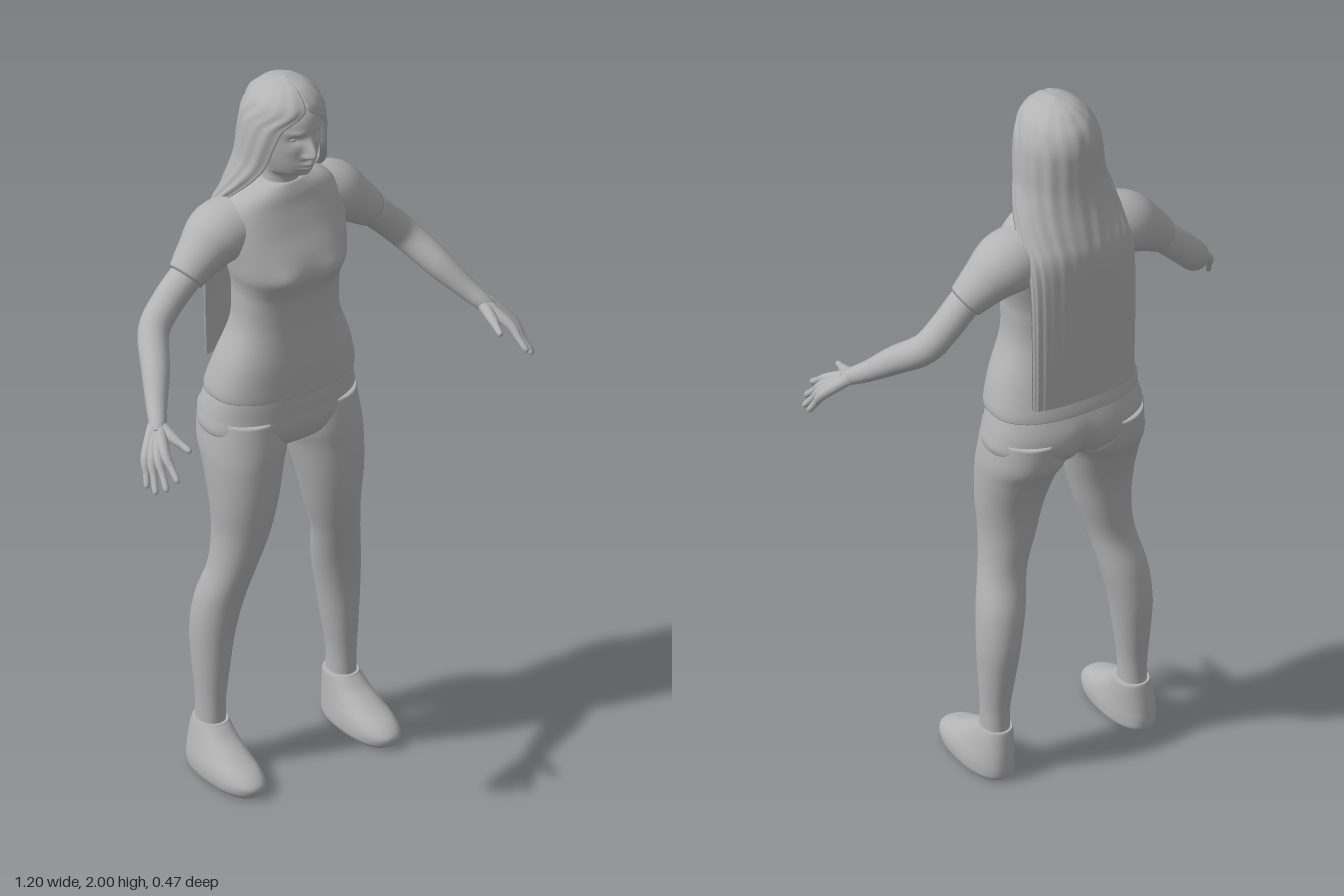
import * as THREE from 'three';

const grey = new THREE.MeshStandardMaterial({ color: 0xb4b4b4 });
grey.name = 'clay grey';
const hairGrey = grey.clone();
hairGrey.name = 'clay grey hair';
hairGrey.side = THREE.DoubleSide;

// Catmull-Rom interpolation of every column of a table
function spline(rows, steps) {
  const out = [];
  const at = (i) => rows[Math.min(rows.length - 1, Math.max(0, i))];
  for (let i = 0; i < rows.length - 1; i++) {
    const n = i === rows.length - 2 ? steps + 1 : steps;
    for (let k = 0; k < n; k++) {
      const t = k / steps;
      out.push(rows[i].map((_, c) => {
        const a = at(i - 1)[c], b = at(i)[c], d = at(i + 1)[c], e = at(i + 2)[c];
        const m0 = (d - a) / 2, m1 = (e - b) / 2;
        return b + m0 * t + (3 * (d - b) - 2 * m0 - m1) * t * t + (2 * (b - d) + m0 + m1) * t * t * t;
      }));
    }
  }
  return out;
}

// Closed skin over a stack of rings, with fan caps
function skin(name, rings, material = grey, caps = true) {
  const n = rings[0].length, pts = rings.flat(), index = [];
  for (let i = 0; i < rings.length - 1; i++) {
    for (let j = 0; j < n; j++) {
      const k = (j + 1) % n, a = i * n, b = a + n;
      index.push(a + j, b + j, a + k, a + k, b + j, b + k);
    }
  }
  if (caps) {
    const centre = (r) => r.reduce((s, p) => s.add(p), new THREE.Vector3()).divideScalar(n);
    const lo = pts.length, top = (rings.length - 1) * n;
    pts.push(centre(rings[0]), centre(rings[rings.length - 1]));
    for (let j = 0; j < n; j++) {
      const k = (j + 1) % n;
      index.push(lo, j, k, lo + 1, top + k, top + j);
    }
  }
  const g = new THREE.BufferGeometry().setFromPoints(pts);
  g.setIndex(index);
  g.computeVertexNormals();
  const mesh = new THREE.Mesh(g, material);
  mesh.name = name;
  return mesh;
}

// Upright form; rows are [y, xMin, xMax, zFront, zBack] from bottom to top
function body(name, rows, { power = 2, sides = 40, steps = 6, bump } = {}) {
  const pw = (v) => Math.sign(v) * Math.abs(v) ** (2 / power);
  const rings = spline(rows, steps).map(([y, x0, x1, zf, zb]) =>
    Array.from({ length: sides }, (_, j) => {
      const a = (j / sides) * Math.PI * 2;
      const v = new THREE.Vector3((x0 + x1) / 2 + pw(Math.cos(a)) * (x1 - x0) / 2, y,
        (zf + zb) / 2 + pw(Math.sin(a)) * (zf - zb) / 2);
      if (bump) bump(v, Math.sin(a));
      return v;
    }));
  return skin(name, rings);
}

// Round limb along a path of [x, y, z, radius]; s mirrors it
function limb(name, path, s, sides = 20, steps = 6) {
  const rows = spline(path, steps);
  const pos = rows.map((r) => new THREE.Vector3(r[0] * s, r[1], r[2]));
  const ref = new THREE.Vector3(0, 0, 1);
  const rings = pos.map((p, i) => {
    const t = pos[Math.min(i + 1, pos.length - 1)].clone().sub(pos[Math.max(i - 1, 0)]).normalize();
    const n = t.clone().cross(ref).normalize(), b = t.clone().cross(n);
    return Array.from({ length: sides }, (_, j) => {
      const a = (j / sides) * Math.PI * 2;
      return p.clone().addScaledVector(n, Math.cos(a) * rows[i][3]).addScaledVector(b, -Math.sin(a) * rows[i][3]);
    });
  });
  return skin(name, rings);
}

const sym = (rows) => rows.map(([y, rx, zf, zb]) => [y, -rx, rx, zf, zb]);
const flip = (rows, s) => rows.map(([y, a, b, zf, zb]) => (s > 0 ? [y, a, b, zf, zb] : [y, -b, -a, zf, zb]));
const bell = (x, c, w) => Math.exp(-(((x - c) / w) ** 2));

function makeHead() {
  // Facial relief: nose, lips, chin, brows, eye sockets
  const face = (v, front) => {
    if (front <= 0) return;
    const x = Math.abs(v.x), y = v.y;
    const ramp = THREE.MathUtils.smoothstep(1.885 - y, 0, 0.058) * (1 - THREE.MathUtils.smoothstep(1.823 - y, 0, 0.014));
    let d = 0.031 * ramp * bell(x, 0, 0.012) + 0.01 * bell(x, 0.013, 0.007) * bell(y, 1.817, 0.008);
    d += 0.01 * bell(x, 0, 0.02) * (bell(y, 1.793, 0.006) + bell(y, 1.779, 0.007));
    d += 0.006 * bell(x, 0, 0.018) * bell(y, 1.757, 0.01);
    d += 0.005 * bell(x, 0.034, 0.02) * bell(y, 1.889, 0.007);
    d -= 0.011 * bell(x, 0.033, 0.017) * bell(y, 1.867, 0.011);
    d += 0.004 * bell(x, 0.045, 0.018) * bell(y, 1.835, 0.018);
    v.z += d * front;
  };
  const head = new THREE.Group();
  head.name = 'head';
  head.add(body('face and neck', sym([
    [1.65, 0.065, -0.03, -0.14], [1.69, 0.052, -0.032, -0.135], [1.73, 0.051, -0.025, -0.14],
    [1.75, 0.054, 0.018, -0.15], [1.768, 0.06, 0.032, -0.155], [1.8, 0.07, 0.04, -0.165],
    [1.85, 0.079, 0.043, -0.17], [1.9, 0.083, 0.045, -0.172], [1.935, 0.077, 0.032, -0.16],
    [1.965, 0.055, 0, -0.13], [1.985, 0.025, -0.04, -0.09],
  ]), { sides: 120, steps: 10, bump: face }));
  for (const s of [1, -1]) {
    const eye = new THREE.Mesh(new THREE.SphereGeometry(0.011, 16, 12), grey);
    eye.name = 'eye';
    eye.scale.set(1.2, 0.6, 0.7);
    eye.position.set(0.033 * s, 1.867, 0.02);
    head.add(eye);
  }
  return head;
}

function makeHair() {
  // Rows: y, half width, depth radius, centre z, half opening angle, thickness
  const rows = spline([
    [1.155, 0.148, 0.026, -0.2, 1.6, 0.016], [1.3, 0.15, 0.03, -0.203, 1.6, 0.018],
    [1.5, 0.152, 0.036, -0.2, 1.6, 0.018], [1.6, 0.152, 0.052, -0.182, 1.65, 0.018],
    [1.66, 0.149, 0.085, -0.135, 1.8, 0.018], [1.72, 0.138, 0.1, -0.103, 2.05, 0.018],
    [1.78, 0.123, 0.108, -0.085, 2.25, 0.018], [1.85, 0.116, 0.113, -0.077, 2.38, 0.02],
    [1.9, 0.108, 0.113, -0.074, 2.55, 0.02], [1.94, 0.093, 0.105, -0.069, 3.05, 0.016],
    [1.965, 0.076, 0.087, -0.066, 3.14, 0.014], [1.988, 0.046, 0.055, -0.064, 3.14, 0.01],
    [2, 0.004, 0.004, -0.062, 3.14, 0.002],
  ], 5);
  const n = 72;
  const rings = rows.map(([y, rx, rz, zc, open, thick]) => {
    const arc = (inset) => Array.from({ length: n }, (_, j) => {
      const u = (j / (n - 1)) * 2 - 1, t = u * Math.min(open, Math.PI);
      const wave = (1 + 0.012 * Math.cos(u * 43) + 0.008 * Math.sin(u * 27));
      return new THREE.Vector3((rx - inset) * Math.sin(t) * wave, y, zc - (rz - inset) * Math.cos(t) * wave);
    });
    return [...arc(0).reverse(), ...arc(thick)].reverse();
  });
  // Rings run so that the outside of the hair faces outward
  const ordered = rings.map((r) => r.slice().reverse());
  const a = ordered[0][0], b = ordered[0][n - 1];
  return skin('long hair', a.x > b.x ? rings : ordered, hairGrey, false);
}

function makeTorso() {
  const torso = new THREE.Group();
  torso.name = 'torso';
  torso.add(body('shirt', sym([
    [1.105, 0.209, 0.036, -0.217], [1.13, 0.207, 0.036, -0.212], [1.2, 0.187, 0.036, -0.192],
    [1.3, 0.15, 0.032, -0.166], [1.39, 0.146, 0.037, -0.163], [1.43, 0.15, 0.048, -0.167],
    [1.47, 0.16, 0.058, -0.173], [1.52, 0.168, 0.046, -0.183], [1.58, 0.178, 0.018, -0.193],
    [1.64, 0.165, -0.005, -0.194], [1.675, 0.13, -0.015, -0.18], [1.698, 0.08, -0.025, -0.155],
    [1.705, 0.055, -0.03, -0.14],
  ]), {
    power: 2.4, sides: 64, bump: (v, front) => {
      if (front > 0) v.z += 0.012 * bell(Math.abs(v.x), 0.075, 0.045) * bell(v.y, 1.465, 0.04) * front;
    },
  }));
  torso.add(body('hips', sym([
    [0.935, 0.06, -0.04, -0.14], [0.955, 0.17, 0.01, -0.19], [1, 0.221, 0.03, -0.226],
    [1.05, 0.217, 0.031, -0.232], [1.1, 0.204, 0.03, -0.218], [1.14, 0.19, 0.025, -0.2],
  ]), {
    power: 2.3, sides: 64, bump: (v, front) => {
      if (front < 0) v.z += 0.025 * bell(v.x, 0, 0.022) * bell(v.y, 0.99, 0.06);
    },
  }));
  return torso;
}

function makeLeg(s) {
  const leg = new THREE.Group();
  leg.name = s > 0 ? 'leftLeg' : 'rightLeg';
  leg.add(body('trouser leg', flip([
    [0.12, 0.168, 0.24, -0.06, -0.15], [0.2, 0.168, 0.24, -0.06, -0.15], [0.3, 0.155, 0.246, -0.053, -0.163],
    [0.4, 0.14, 0.25, -0.045, -0.173], [0.5, 0.12, 0.243, -0.03, -0.163], [0.6, 0.1, 0.222, -0.004, -0.136],
    [0.7, 0.07, 0.214, 0.018, -0.138], [0.8, 0.045, 0.221, 0.031, -0.15], [0.9, 0.022, 0.226, 0.033, -0.185],
    [0.96, 0.004, 0.225, 0.031, -0.216], [1.04, 0.01, 0.214, 0.02, -0.222],
  ], s), { power: 2.1 }));
  leg.add(body('shoe', flip([
    [0, 0.158, 0.262, 0.095, -0.155], [0.012, 0.148, 0.273, 0.11, -0.168], [0.035, 0.147, 0.275, 0.114, -0.171],
    [0.058, 0.15, 0.271, 0.088, -0.17], [0.08, 0.154, 0.264, 0.04, -0.168], [0.11, 0.158, 0.255, -0.015, -0.163],
    [0.135, 0.161, 0.247, -0.046, -0.158], [0.143, 0.164, 0.244, -0.054, -0.155],
  ], s), { power: 2.25 }));
  return leg;
}

function makeArm(s) {
  const arm = new THREE.Group();
  arm.name = s > 0 ? 'leftArm' : 'rightArm';
  arm.add(limb('sleeve', [
    [0.09, 1.59, -0.105, 0.08], [0.175, 1.573, -0.11, 0.084], [0.235, 1.533, -0.105, 0.065], [0.288, 1.487, -0.098, 0.049],
  ], s, 32));
  arm.add(limb('bare arm', [
    [0.25, 1.517, -0.1, 0.042], [0.29, 1.485, -0.098, 0.043], [0.345, 1.43, -0.098, 0.042],
    [0.397, 1.372, -0.083, 0.041], [0.443, 1.308, -0.01, 0.037], [0.483, 1.253, 0.05, 0.028],
    [0.508, 1.222, 0.09, 0.023], [0.522, 1.207, 0.108, 0.018],
  ], s, 24));
  // Fingers begin at the wrist and merge into the palm: base, knuckle, tip
  const fingers = {
    'index finger': [[0.51, 1.218, 0.1], [0.539, 1.18, 0.165], [0.546, 1.13, 0.233]],
    'middle finger': [[0.513, 1.216, 0.096], [0.553, 1.172, 0.155], [0.571, 1.105, 0.219]],
    'ring finger': [[0.516, 1.218, 0.092], [0.564, 1.167, 0.143], [0.59, 1.092, 0.197]],
    'little finger': [[0.519, 1.22, 0.088], [0.572, 1.166, 0.128], [0.595, 1.098, 0.165]],
    thumb: [[0.505, 1.22, 0.092], [0.498, 1.202, 0.145], [0.485, 1.185, 0.203]],
  };
  for (const [name, [a, b, c]] of Object.entries(fingers)) {
    const mix = (t) => b.map((v, i) => v + (c[i] - v) * t);
    arm.add(limb(name, [[...a, 0.017], [...b, 0.014], [...mix(0.5), 0.0095], [...mix(0.9), 0.008], [...c, 0.003]], s, 12, 4));
  }
  return arm;
}

export function createModel() {
  const model = new THREE.Group();
  model.name = 'standing woman';
  model.add(makeHead(), makeHair(), makeTorso());
  for (const s of [1, -1]) model.add(makeLeg(s), makeArm(s));
  return model;
}
